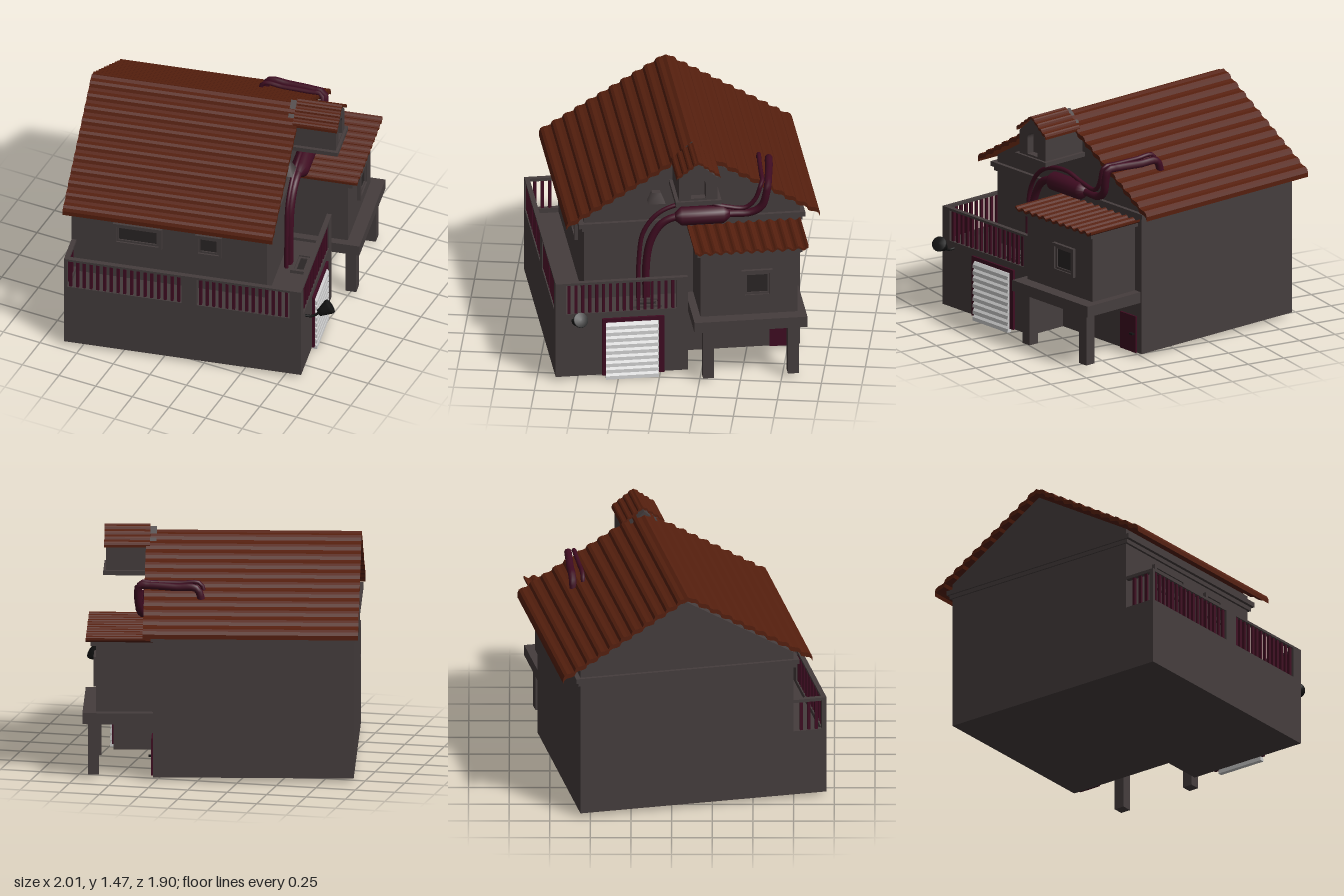
import * as THREE from 'three';

const mat = (color, side = THREE.FrontSide) => new THREE.MeshStandardMaterial({ color, side });
const wall = mat(0x453d3d), tile = mat(0x551f0e, THREE.DoubleSide), red = mat(0x3f0c21);
const black = mat(0x141414), glass = mat(0x2a2626), white = mat(0xcccccc, THREE.DoubleSide);

export function createModel() {
  const root = new THREE.Group();
  root.name = 'house';
  // whole house is turned about the vertical axis
  root.rotation.y = 0.216;

  const add = (name, geo, m, parent = root) => {
    const mesh = new THREE.Mesh(geo, m);
    mesh.name = name;
    parent.add(mesh);
    return mesh;
  };
  // box given by its limits
  const box = (name, x0, x1, y0, y1, z0, z1, m = wall) => {
    const mesh = add(name, new THREE.BoxGeometry(x1 - x0, y1 - y0, z1 - z0), m);
    mesh.position.set((x0 + x1) / 2, (y0 + y1) / 2, (z0 + z1) / 2);
    return mesh;
  };
  const shapeOf = (pts) => new THREE.Shape(pts.map(([a, b]) => new THREE.Vector2(a, b)));
  const rect = (a0, a1, b0, b1) => shapeOf([[a0, b0], [a1, b0], [a1, b1], [a0, b1]]);
  const extrude = (shape, depth) => new THREE.ExtrudeGeometry(shape, { depth, bevelEnabled: false, curveSegments: 10 });
  // shape drawn in (-z, y), swept along x
  const sweepX = (name, shape, x0, x1, m) => {
    const g = extrude(shape, x1 - x0);
    g.rotateY(Math.PI / 2);
    g.translate(x0, 0, 0);
    return add(name, g, m);
  };

  // main body, cornice and gable
  const ridgeZ = -0.08;
  box('houseBody', -0.8, 0.435, 0.025, 0.9, -0.75, 0.59);
  box('lowerCornice', -0.81, 0.45, 0.885, 0.91, -0.765, 0.605);
  box('upperCornice', -0.82, 0.46, 0.91, 0.94, -0.78, 0.625);
  sweepX('gable', shapeOf([[-0.59, 0.9], [0.75, 0.9], [0.75, 0.985], [-ridgeZ, 1.385], [-0.59, 0.985]]), -0.8, 0.435, wall);

  // pitched roof of overlapping tile rows
  const tiledRoof = (name, x0, x1, half, eaveY, ridgeY, rows, lip, thick) => {
    const top = [];
    for (let i = 0; i < rows; i++) {
      for (const [f, h] of [[0, 0.35], [0.12, 0.95], [0.35, 1], [0.7, 0.55]]) {
        const t = (i + f) / rows;
        top.push([-half * (1 - t), eaveY + (ridgeY - eaveY) * t + lip * h]);
      }
    }
    top.push([0, ridgeY + lip * 0.5]);
    const full = [...top, ...top.slice(0, -1).reverse().map(([a, b]) => [-a, b])];
    const under = full.map(([a, b]) => [a, b - thick]).reverse();
    const pts = [...full, ...under].map(([a, b]) => [a - ridgeZ, b]);
    return sweepX(name, shapeOf(pts), x0, x1, tile);
  };
  tiledRoof('mainRoof', -0.83, 0.495, 0.785, 0.945, 1.42, 11, 0.025, 0.028);

  // terrace with railings
  box('terraceFront', -0.8, 0.7, 0.025, 0.42, 0.58, 0.8);
  box('terraceSide', 0.43, 0.7, 0.025, 0.42, -0.02, 0.6);
  const front = rect(-0.8, 0.7, 0.42, 0.66);
  const frontGaps = [[-0.78, -0.055], [0.04, 0.625]];
  for (const [a, b] of frontGaps) front.holes.push(rect(a, b, 0.45, 0.645));
  add('frontRailing', extrude(front, 0.03), wall).position.z = 0.77;
  const side = rect(-0.8, 0.02, 0.42, 0.66);
  side.holes.push(rect(-0.737, -0.05, 0.45, 0.645));
  sweepX('sideRailing', side, 0.67, 0.7, wall);
  box('leftRail', -0.8, -0.77, 0.64, 0.66, 0.58, 0.79);
  box('leftKerb', -0.8, -0.77, 0.42, 0.45, 0.58, 0.79);
  const bars = (a, b, place) => {
    const n = Math.round((b - a) / 0.043);
    for (let i = 0; i < n; i++) place(a + ((i + 0.5) * (b - a)) / n);
  };
  for (const [a, b] of frontGaps) bars(a, b, (x) => box('baluster', x - 0.009, x + 0.009, 0.445, 0.65, 0.777, 0.793, red));
  bars(0.05, 0.737, (z) => box('baluster', 0.677, 0.693, 0.445, 0.65, z - 0.009, z + 0.009, red));
  bars(0.62, 0.76, (z) => box('baluster', -0.793, -0.777, 0.445, 0.65, z - 0.009, z + 0.009, red));

  // framed windows, facing +z unless turned
  const windowAt = (name, w, h, x, y, z, rx = 0, ry = 0) => {
    const g = new THREE.Group();
    g.name = name;
    const ring = (inset, t, depth) => {
      const s = rect(-w / 2 + inset, w / 2 - inset, -h / 2 + inset, h / 2 - inset);
      const k = inset + t;
      s.holes.push(rect(-w / 2 + k, w / 2 - k, -h / 2 + k, h / 2 - k));
      add('windowFrame', extrude(s, depth), wall, g);
    };
    ring(0, 0.02, 0.022);
    ring(0.019, 0.014, 0.012);
    add('windowPane', new THREE.BoxGeometry(w - 0.05, h - 0.05, 0.008), glass, g);
    g.position.set(x, y, z);
    g.rotation.set(rx, ry, 0);
    root.add(g);
  };
  windowAt('wideWindow', 0.307, 0.155, -0.38, 0.762, 0.59);
  windowAt('smallWindow', 0.168, 0.155, 0.068, 0.762, 0.59);
  windowAt('annexWindow', 0.194, 0.185, 0.786, 0.638, -0.437, 0, Math.PI / 2);
  windowAt('deckHatch', 0.11, 0.18, 0.57, 0.42, 0.22, -Math.PI / 2);

  // garage door: frame and ribbed shutter
  const frame = shapeOf([[-0.512, 0.025], [-0.512, 0.41], [-0.128, 0.41], [-0.128, 0.025],
    [-0.16, 0.025], [-0.16, 0.385], [-0.49, 0.385], [-0.49, 0.025]]);
  sweepX('garageFrame', frame, 0.69, 0.715, red);
  const ribs = [[0.7, 0]];
  for (let i = 0; i < 9; i++) {
    const y = i * 0.0425;
    ribs.push([0.728, y], [0.726, y + 0.022], [0.712, y + 0.04]);
  }
  ribs.push([0.7, 0.385]);
  add('garageShutter', extrude(shapeOf(ribs), 0.326), white).position.z = 0.164;

  // annex on its platform and posts
  box('platform', 0.43, 0.87, 0.355, 0.425, -0.74, -0.04);
  box('annexBody', 0.43, 0.786, 0.42, 0.86, -0.69, -0.087);
  box('annexCornice', 0.43, 0.82, 0.845, 0.88, -0.715, -0.065);
  for (const z of [-0.131, -0.657]) box('post', 0.77, 0.837, 0.025, 0.36, z - 0.034, z + 0.034);
  const crest = [];
  for (let i = 0; i <= 66; i++) crest.push([0.045 + (0.705 * i) / 66, 0.893 + 0.009 * Math.cos((i / 6) * Math.PI * 2)]);
  sweepX('annexRoof', shapeOf([...crest, ...crest.map(([a, b]) => [a, b - 0.014]).reverse()]), 0.43, 0.85, tile);

  // back door under the platform
  box('backDoor', 0.43, 0.447, 0.025, 0.26, -0.708, -0.56, red);
  box('doorHandle', 0.445, 0.465, 0.14, 0.15, -0.695, -0.665, black);

  // small lamp hoods on the gable and below the platform
  for (const [x, y, z] of [[0.45, 1.105, 0.146], [0.65, 0.333, -0.41]]) {
    const g = new THREE.CylinderGeometry(0.038, 0.075, 0.065, 4, 1);
    g.rotateY(Math.PI / 4);
    add('lampHood', g, wall).position.set(x, y, z);
  }

  // ridge turret with arched niche
  box('turretFloor', 0.42, 0.757, 1.175, 1.203, -0.222, 0.062);
  const face = shapeOf([[-0.04, 1.2], [0.2, 1.2], [0.2, 1.35], [0.08, 1.455], [-0.04, 1.35]]);
  const arch = new THREE.Path();
  arch.moveTo(0.034, 1.215);
  arch.lineTo(0.034, 1.31);
  arch.absarc(0.08, 1.31, 0.046, Math.PI, 0, true);
  arch.lineTo(0.126, 1.215);
  arch.closePath();
  sweepX('turretBody', face.clone(), 0.43, 0.69, wall);
  face.holes.push(arch);
  sweepX('turretFace', face, 0.69, 0.74, wall);
  tiledRoof('turretRoof', 0.47, 0.752, 0.135, 1.36, 1.462, 4, 0.014, 0.016);

  // pipes climbing the side wall and running over the back slope
  const pipe = (name, r, pts) => add(name, new THREE.TubeGeometry(
    new THREE.CatmullRomCurve3(pts.map((p) => new THREE.Vector3(...p))), 64, r, 10), red);
  pipe('thickPipe', 0.024, [[0.49, 0.42, 0.21], [0.49, 0.68, 0.21], [0.49, 0.83, 0.18], [0.495, 0.94, 0.11],
    [0.5, 0.98, 0.02], [0.5, 0.98, -0.14], [0.5, 0.98, -0.33], [0.51, 0.985, -0.43], [0.525, 1.03, -0.5],
    [0.535, 1.13, -0.53], [0.525, 1.185, -0.54], [0.46, 1.19, -0.55], [0.3, 1.185, -0.575], [0.17, 1.18, -0.59], [0.135, 1.08, -0.59]]);
  pipe('thinPipe', 0.014, [[0.48, 0.42, 0.26], [0.48, 0.7, 0.255], [0.48, 0.87, 0.23], [0.485, 0.99, 0.15],
    [0.49, 1.05, 0.04], [0.495, 1.07, -0.12], [0.5, 1.03, -0.28], [0.51, 1.02, -0.4], [0.525, 1.08, -0.46],
    [0.53, 1.18, -0.495], [0.515, 1.2, -0.505], [0.44, 1.2, -0.51], [0.28, 1.2, -0.52], [0.15, 1.2, -0.53], [0.12, 1.1, -0.53]]);
  const tank = add('pipeTank', new THREE.LatheGeometry([[0, -0.17], [0.025, -0.17], [0.058, -0.13], [0.058, 0.13],
    [0.025, 0.17], [0, 0.17]].map((p) => new THREE.Vector2(...p)), 14), red);
  tank.rotation.x = Math.PI / 2;
  tank.position.set(0.5, 0.98, -0.135);

  // outdoor lamp on a curved bracket
  add('lampBracket', new THREE.TubeGeometry(new THREE.CatmullRomCurve3([[0.69, 0.41, 0.695], [0.74, 0.41, 0.695],
    [0.77, 0.425, 0.69], [0.8, 0.46, 0.68]].map((p) => new THREE.Vector3(...p))), 20, 0.008, 8), black);
  const lamp = add('lampHead', new THREE.LatheGeometry([[0, -0.05], [0.022, -0.05], [0.032, -0.02], [0.048, 0.025],
    [0.046, 0.038], [0, 0.04]].map((p) => new THREE.Vector2(...p)), 16), black);
  lamp.position.set(0.825, 0.463, 0.672);
  lamp.rotation.set(-0.5, 0, -0.9);

  const model = new THREE.Group();
  model.add(root);
  return model;
}
